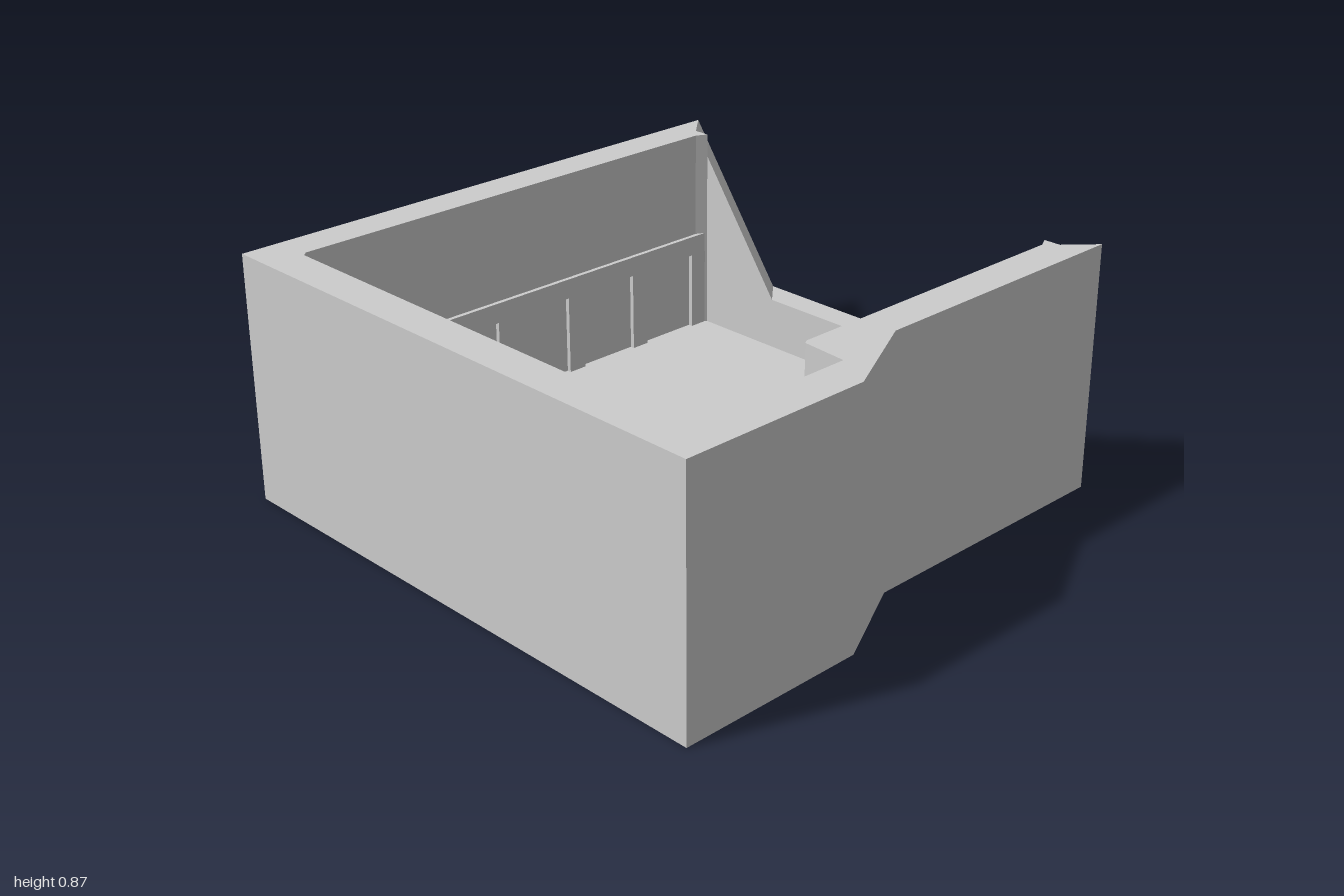
import * as THREE from 'three';

const H = 0.865, FLOOR = 0.124, BACK = -0.9;
const PITCH = 0.357;

export function createModel() {
  const group = new THREE.Group();
  const material = new THREE.MeshStandardMaterial({ color: 0xcccccc, flatShading: true });

  const add = (name, geometry) => {
    const mesh = new THREE.Mesh(geometry, material);
    mesh.name = name;
    group.add(mesh);
    return mesh;
  };
  const box = (name, x0, x1, y0, y1, z0, z1) =>
    add(name, new THREE.BoxGeometry(x1 - x0, y1 - y0, z1 - z0))
      .position.set((x0 + x1) / 2, (y0 + y1) / 2, (z0 + z1) / 2);
  // Extrude a plan outline of [x, z] points upward between two heights
  const plan = (name, points, y0, y1) => {
    const shape = new THREE.Shape(points.map(([x, z]) => new THREE.Vector2(x, -z)));
    const g = new THREE.ExtrudeGeometry(shape, { depth: y1 - y0, bevelEnabled: false });
    add(name, g.rotateX(-Math.PI / 2).translate(0, y0, 0));
  };

  // Floor slab and the U of side and front walls, with a jog on one side
  const outer = [[0.83, BACK], [0.83, 0], [1, 0.33], [1, 1], [-1, 1], [-1, BACK]];
  const inner = [
    [-0.85, BACK], [-0.87, -0.86], [-0.87, 0.85], [-0.855, 0.867], [0.85, 0.867], [0.865, 0.85],
    [0.865, 0.262], [0.71, 0.25], [0.7, 0.235], [0.7, -0.86], [0.68, BACK],
  ];
  plan('floor', outer, 0, FLOOR);
  plan('walls', [...outer, ...inner], FLOOR, H);

  // Back wall with a wide sloping opening, splayed outward toward the back
  const backShape = new THREE.Shape([
    [-1, 0], [0.83, 0], [0.83, H], [0.74, H], [0.34, 0.31], [-0.51, 0.31], [-0.91, H], [-1, H],
  ].map(([x, y]) => new THREE.Vector2(x, y)));
  const back = new THREE.ExtrudeGeometry(backShape, { depth: 0.1, bevelEnabled: false });
  back.translate(0, 0, -1);
  const p = back.attributes.position;
  for (let i = 0; i < p.count; i++) {
    const fromMiddle = p.getX(i) + 0.085;
    if (p.getZ(i) < -0.95 && Math.abs(fromMiddle) < 0.9) {
      p.setX(i, p.getX(i) + Math.sign(fromMiddle) * 0.09);
    }
  }
  back.computeVertexNormals();
  add('backWall', back);

  // Straight rails on the side walls, with posts below
  const sides = [
    { wall: -0.87, dir: 1, z0: -0.89, z1: 0.86, posts: [-0.86, -0.56, -0.25, 0.07, 0.38, 0.69] },
    { wall: 0.7, dir: -1, z0: -0.89, z1: 0.25, posts: [-0.65, -0.36, -0.06] },
    { wall: 0.865, dir: -1, z0: 0.262, z1: 0.86, posts: [0.55] },
  ];
  for (const { wall, dir, z0, z1, posts } of sides) {
    const a = wall - dir * 0.01, b = wall + dir * 0.016;
    const x0 = Math.min(a, b), x1 = Math.max(a, b);
    box('sideRail', x0, x1, 0.41, 0.482, z0, z1);
    for (const z of posts) box('sidePost', x0, x1, FLOOR, 0.41, z - 0.035, z + 0.035);
  }

  // Wavy rail along the front wall: round crests and short flat valleys
  const waveY = (x) => {
    const d = Math.abs(x - Math.round(x / PITCH) * PITCH);
    return 0.545 + 0.06 * Math.cos(Math.PI * Math.min(d / 0.146, 1));
  };
  const top = [], bottom = [], steps = 96;
  for (let i = 0; i <= steps; i++) {
    const x = -0.86 + (1.72 * i) / steps;
    top.push(new THREE.Vector2(x, waveY(x)));
    bottom.unshift(new THREE.Vector2(x, waveY(x) - 0.07));
  }
  const wave = new THREE.ExtrudeGeometry(new THREE.Shape([...bottom, ...top]),
    { depth: 0.058, bevelEnabled: false });
  add('wavyRail', wave.translate(0, 0, 0.812));

  // Posts under each valley
  for (const k of [-1.5, -0.5, 0.5, 1.5]) {
    box('frontPost', k * PITCH - 0.033, k * PITCH + 0.033, FLOOR, 0.45, 0.838, 0.875);
  }
  return group;
}
